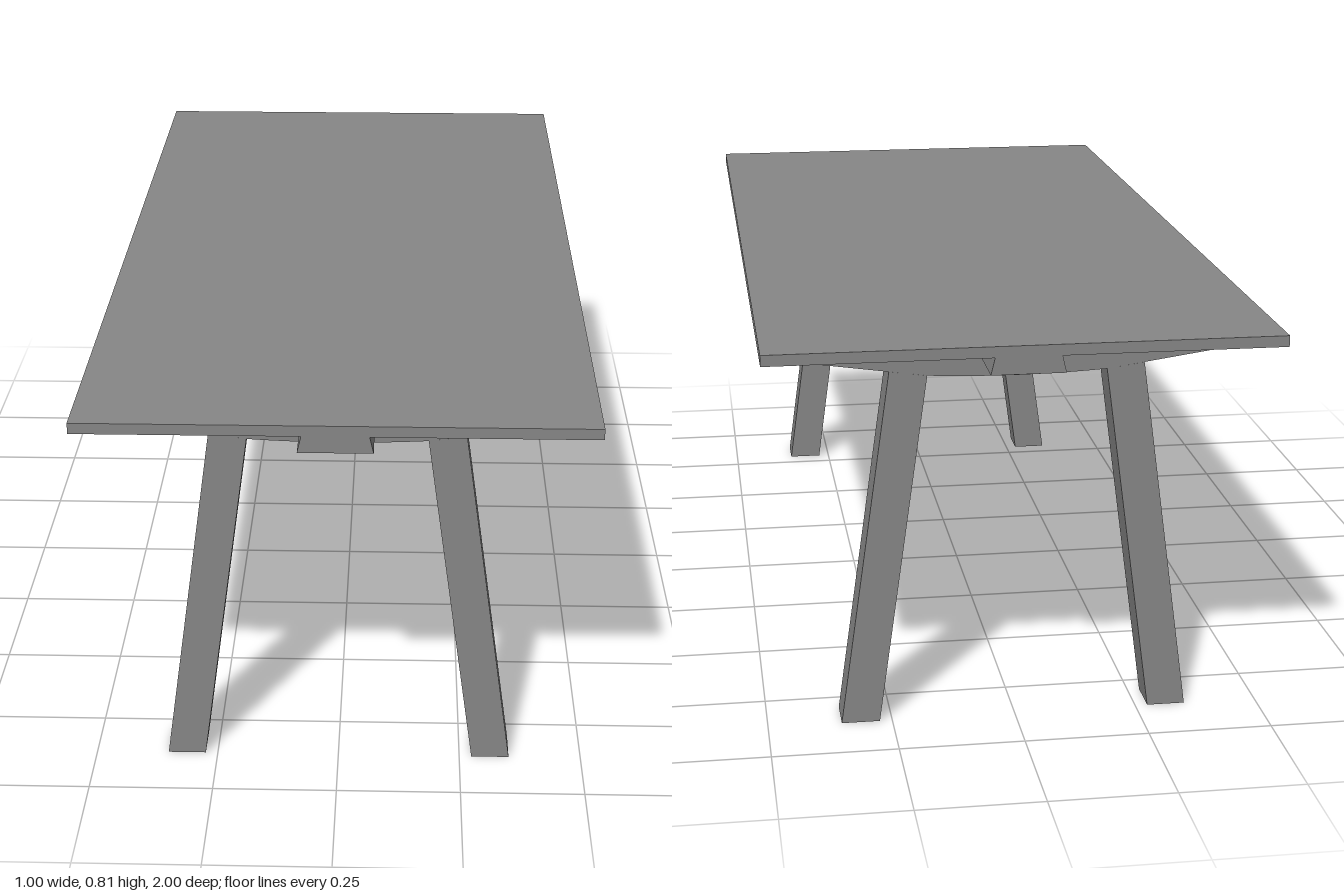
import * as THREE from 'three';

const material = new THREE.MeshStandardMaterial({ color: 0x868686, flatShading: true });
const darkMaterial = new THREE.MeshStandardMaterial({ color: 0x1c1c1c });

// Extrudes an x-y outline along z, centred on the given z
function extrude(name, outline, depth, z) {
  const shape = new THREE.Shape(outline.map(([x, y]) => new THREE.Vector2(x, y)));
  const geometry = new THREE.ExtrudeGeometry(shape, { depth, bevelEnabled: false });
  geometry.translate(0, 0, z - depth / 2);
  const mesh = new THREE.Mesh(geometry, material);
  mesh.name = name;
  return mesh;
}

// Small dark screw hole, a disc facing down almost flush with a lower surface
function screwHole(x, y, z, tilt = 0) {
  const geometry = new THREE.CircleGeometry(0.008, 16).rotateX(Math.PI / 2);
  const mesh = new THREE.Mesh(geometry, darkMaterial);
  mesh.name = 'screwHole';
  mesh.position.set(x, y - 0.0008, z);
  mesh.rotation.z = tilt;
  return mesh;
}

export function createModel() {
  const table = new THREE.Group();
  table.name = 'table';

  // Flat top
  const top = new THREE.Mesh(new THREE.BoxGeometry(1, 0.022, 2), material);
  top.name = 'tableTop';
  top.position.y = 0.801;
  table.add(top);

  // Dovetail rail running the full length
  table.add(extrude('centreRail',
    [[-0.072, 0.756], [0.072, 0.756], [0.064, 0.79], [-0.064, 0.79]], 1.998, 0));

  // Underside of the crossbar: straight tapers meeting a shallow curve
  const belly = [[-0.416, 0.757]];
  for (let i = -8; i <= 8; i++) {
    const t = i / 8;
    belly.push([t * 0.176, 0.717 + 0.0055 * t * t]);
  }
  belly.push([0.416, 0.757]);

  for (const end of [1, -1]) {
    const frame = new THREE.Group();
    frame.name = end > 0 ? 'frontFrame' : 'backFrame';
    const z = end * 0.834;
    frame.add(extrude('crossbar', [...belly, [0.416, 0.79], [-0.416, 0.79]], 0.076, z));
    frame.add(screwHole(0, 0.717, z));

    for (const side of [1, -1]) {
      // Splayed leg cut to meet the crossbar
      const leg = [[0.275, 0], [0.352, 0], [0.25, 0.733], [0.176, 0.7225]]
        .map(([x, y]) => [side * x, y]);
      frame.add(extrude(side > 0 ? 'leftLeg' : 'rightLeg', leg, 0.076, z));

      // Holes in the crossbar and in the top on either side of it
      frame.add(screwHole(side * 0.333, 0.745, z, side * 0.143));
      for (const dz of [-0.12, 0.12]) frame.add(screwHole(side * 0.333, 0.79, z + dz));
    }
    table.add(frame);
  }
  return table;
}
